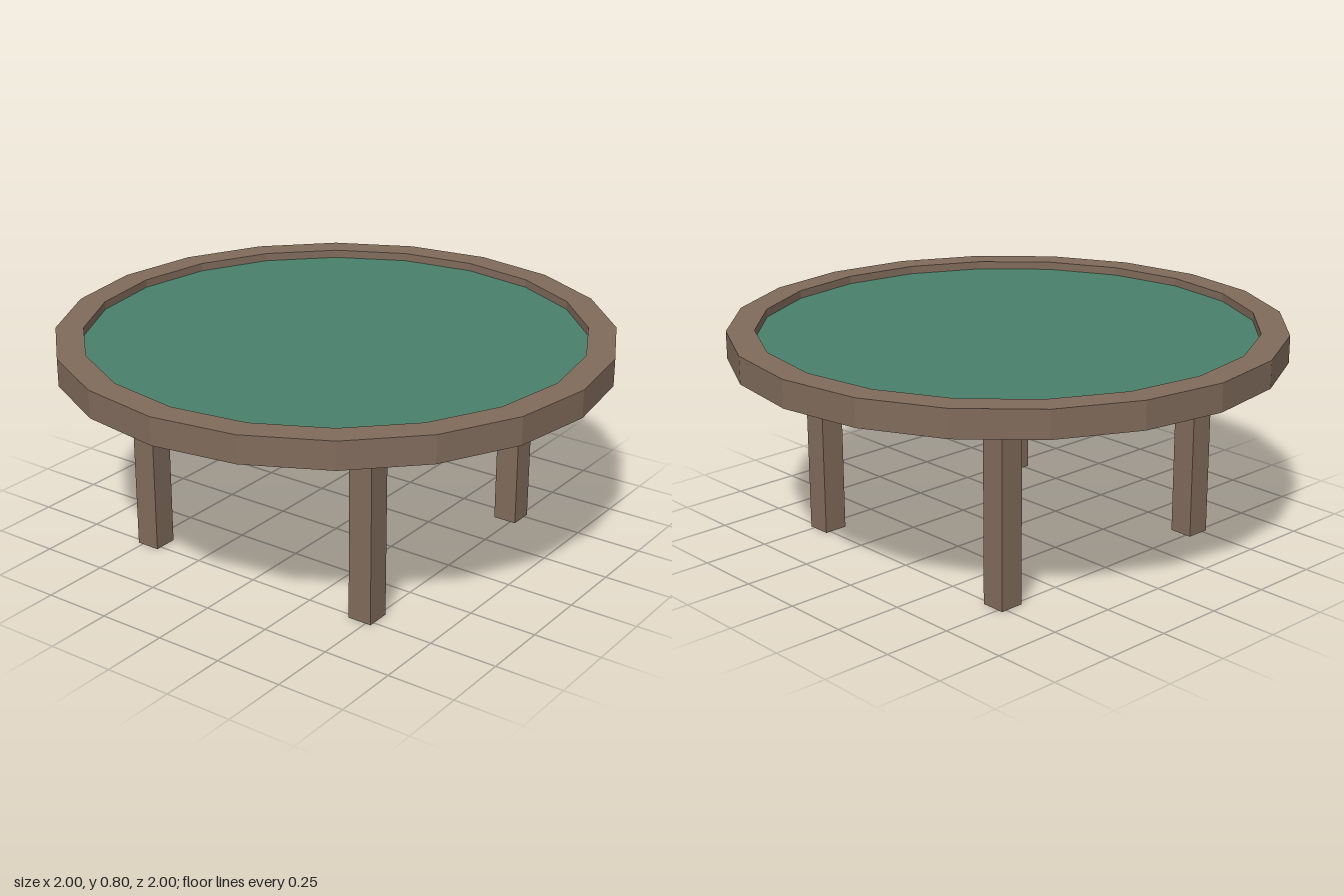
import * as THREE from 'three';

const SIDES = 20;

export function createModel() {
  const wood = new THREE.MeshStandardMaterial({ color: 0x806b5b, flatShading: true });
  const felt = new THREE.MeshStandardMaterial({ color: 0x4a806b, flatShading: true });
  const table = new THREE.Group();
  table.name = 'roundTable';

  const add = (name, geometry, material, x, y, z) => {
    const mesh = new THREE.Mesh(geometry, material);
    mesh.name = name;
    mesh.position.set(x, y, z);
    table.add(mesh);
  };

  // Raised wooden rim: a square section turned around the axis
  const section = [[1, 0.7], [1, 0.8], [0.9, 0.8], [0.9, 0.7], [1, 0.7]]
    .map(([r, y]) => new THREE.Vector2(r, y));
  add('rim', new THREE.LatheGeometry(section, SIDES), wood, 0, 0, 0);

  // Green playing surface, recessed inside the rim
  add('playingSurface', new THREE.CylinderGeometry(0.9, 0.9, 0.06, SIDES), felt, 0, 0.74, 0);

  // Four square legs, reaching up to the underside of the surface
  const legHeight = 0.71;
  const leg = new THREE.BoxGeometry(0.09, legHeight, 0.09);
  for (const [xName, x] of [['Left', 0.475], ['Right', -0.475]]) {
    for (const [zName, z] of [['front', 0.475], ['back', -0.475]]) {
      add(`${zName}${xName}Leg`, leg, wood, x, legHeight / 2, z);
    }
  }

  return table;
}
